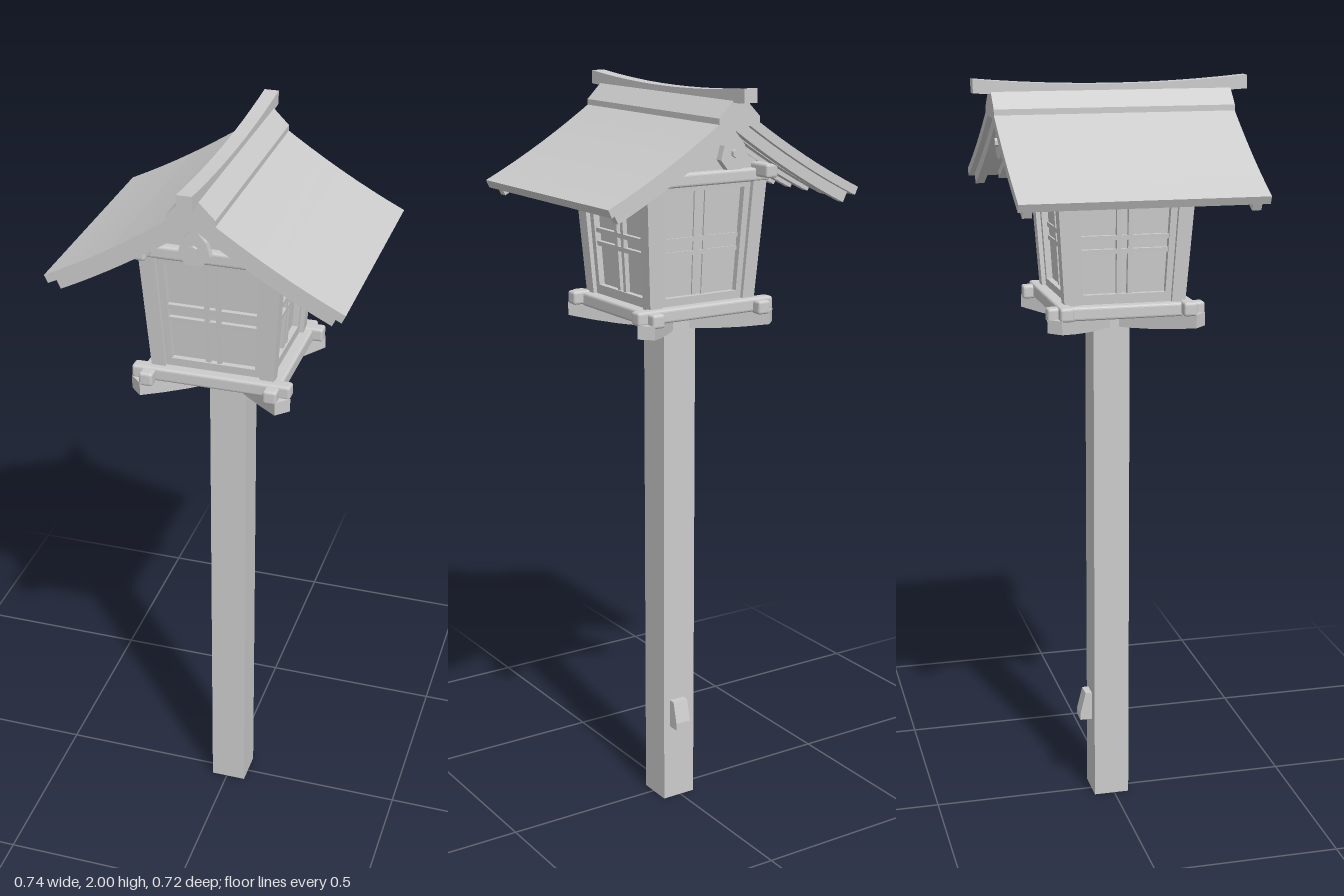
import * as THREE from 'three';
import { RoundedBoxGeometry } from 'three/addons/geometries/RoundedBoxGeometry.js';

const material = new THREE.MeshStandardMaterial({ color: 0xcccccc, flatShading: true });

function add(parent, name, geometry) {
  const mesh = new THREE.Mesh(geometry, material);
  mesh.name = name;
  parent.add(mesh);
  return mesh;
}

function box(parent, name, [w, h, d], [x, y, z]) {
  return add(parent, name, new THREE.BoxGeometry(w, h, d).translate(x, y, z));
}

function beam(parent, name, [w, h, d], [x, y, z]) {
  return add(parent, name, new RoundedBoxGeometry(w, h, d, 2, 0.007).translate(x, y, z));
}

// Extrusion along z, centred on z
function slab(parent, name, points, depth, z = 0) {
  const shape = new THREE.Shape(points.map(([x, y]) => new THREE.Vector2(x, y)));
  const geometry = new THREE.ExtrudeGeometry(shape, { depth, bevelEnabled: false });
  return add(parent, name, geometry.translate(0, 0, z - depth / 2));
}

// Concave roof slope, with offsets measured square to the surface
const roofY = (x) => 1.955 - 0.72 * x + 0.33 * x * x;
function roofPoint(x, offset) {
  const slope = -0.72 + 0.66 * x;
  const k = offset / Math.hypot(slope, 1);
  return [Math.max(0, x + slope * k), roofY(x) - k];
}
function slopeProfile(side, reach, top, bottom) {
  const upper = [], lower = [];
  for (let i = 0; i <= 8; i++) {
    const x = 0.03 + (reach - 0.03) * i / 8;
    upper.push(roofPoint(x, top));
    lower.unshift(roofPoint(x, bottom));
  }
  return [[0, roofY(0) - top * 1.2], ...upper, ...lower, [0, roofY(0) - bottom * 1.2]]
    .map(([x, y]) => [x * side, y]);
}

// Lantern walls flare outward as they rise
function flare(group) {
  group.traverse((o) => {
    if (!o.isMesh) return;
    const p = o.geometry.attributes.position;
    for (let i = 0; i < p.count; i++) {
      const k = 1 + 0.42 * (p.getY(i) - 1.43);
      p.setX(i, p.getX(i) * k);
      p.setZ(i, p.getZ(i) * k);
    }
    o.geometry.computeVertexNormals();
  });
}

// One latticed wall facing +z, baked to the given turn
function wall(parent, name, turn, relief) {
  const side = new THREE.Group();
  side.name = name;
  box(side, 'panel', [0.29, 0.34, 0.02], [0, 1.6, 0.122]);
  for (const s of [-1, 1]) {
    box(side, 'sideFrame', [0.022, 0.32, 0.022], [s * 0.118, 1.59, 0.137]);
    box(side, 'verticalBar', [0.012, 0.3, relief], [s * 0.014, 1.595, 0.13 + relief / 2]);
  }
  box(side, 'bottomRail', [0.26, 0.025, 0.022], [0, 1.452, 0.137]);
  box(side, 'topRail', [0.26, 0.03, 0.022], [0, 1.75, 0.137]);
  for (const y of [1.575, 1.61])
    box(side, 'horizontalBar', [0.23, 0.012, relief], [0, y, 0.13 + relief / 2]);
  side.children.forEach((m) => m.geometry.rotateY(turn));
  parent.add(side);
}

export function createModel() {
  const model = new THREE.Group();
  model.name = 'postLantern';

  // Square post with a small peg at the back
  box(model, 'post', [0.098, 1.4, 0.098], [0.005, 0.7, -0.008]);
  slab(model, 'peg', [[0, 0.22], [0.035, 0.22], [0.035, 0.24], [0.02, 0.3], [0, 0.3]], 0.045)
    .geometry.rotateY(Math.PI / 2).translate(0.012, 0, -0.055);

  // Diagonal bracket arms with bowed undersides
  for (const turn of [Math.PI / 4, -Math.PI / 4]) {
    const points = [[0.272, 1.412], [-0.272, 1.412]];
    for (let i = -4; i <= 4; i++) {
      const t = i / 4;
      points.push([t * 0.272, 1.355 + 0.022 * t * t]);
    }
    slab(model, 'bracketArm', points, 0.045).geometry.rotateY(turn);
  }

  // Crossed sill beams and floor
  box(model, 'floor', [0.32, 0.025, 0.32], [0, 1.42, 0]);
  for (const s of [-1, 1]) {
    beam(model, 'sillBeamAcross', [0.415, 0.036, 0.036], [0, 1.426, s * 0.162]);
    beam(model, 'sillBeamDeep', [0.036, 0.036, 0.415], [s * 0.162, 1.422, 0]);
  }

  // Lantern body
  const body = new THREE.Group();
  body.name = 'lanternBody';
  for (let i = 0; i < 4; i++)
    wall(body, ['frontWall', 'leftWall', 'backWall', 'rightWall'][i], i * Math.PI / 2, i === 2 ? 0.006 : 0.014);
  for (const x of [-1, 1])
    for (const z of [-1, 1])
      box(body, 'cornerPost', [0.036, 0.35, 0.036], [x * 0.141, 1.6, z * 0.141]);
  flare(body);
  model.add(body);

  // Wall plates, gable walls and gable pendants
  slab(model, 'gable', [[-0.16, 1.76], [0.16, 1.76], [0.16, 1.8], [0, 1.91], [-0.16, 1.8]], 0.32);
  for (const s of [-1, 1]) {
    beam(model, 'wallPlateDeep', [0.036, 0.036, 0.46], [s * 0.163, 1.778, 0]);
    beam(model, 'wallPlateAcross', [0.38, 0.034, 0.036], [0, 1.765, s * 0.165]);
    beam(model, 'ridgePurlin', [0.04, 0.04, 0.28], [0, 1.895, s * 0.14]);
    slab(model, 'gablePendant',
      [[-0.02, 1.8], [0.02, 1.8], [0.04, 1.825], [0.03, 1.86], [0, 1.895], [-0.03, 1.86], [-0.04, 1.825]],
      0.02, s * 0.285);
    add(model, 'pendantStud', new THREE.CylinderGeometry(0.011, 0.011, 0.012, 6)
      .rotateX(Math.PI / 2).translate(0, 1.84, s * 0.298));
  }

  // Curved roof slopes with rafters and bargeboards
  for (const s of [-1, 1]) {
    slab(model, 'roofSlope', slopeProfile(s, 0.372, 0, 0.022), 0.63);
    for (let i = -3; i <= 3; i++)
      slab(model, 'rafter', slopeProfile(s, 0.345, 0.02, 0.042), 0.024, i * 0.075);
    for (const z of [-0.288, 0.288])
      slab(model, 'bargeboard', slopeProfile(s, 0.358, 0.02, 0.05), 0.024, z);
  }

  // Ridge cap and upturned ridge beam
  slab(model, 'ridgeCap',
    [[-0.06, 1.905], [0.06, 1.905], [0.06, 1.928], [0.02, 1.968], [-0.02, 1.968], [-0.06, 1.928]], 0.63);
  const ridge = [];
  for (let i = -6; i <= 6; i++) ridge.push([i * 0.06, 1.955 + 0.01 * (i / 6) ** 2]);
  for (let i = 6; i >= -6; i--) ridge.push([i * 0.06, 1.983 + 0.017 * (i / 6) ** 2]);
  slab(model, 'ridgeBeam', ridge, 0.038).geometry.rotateY(Math.PI / 2);

  return model;
}
